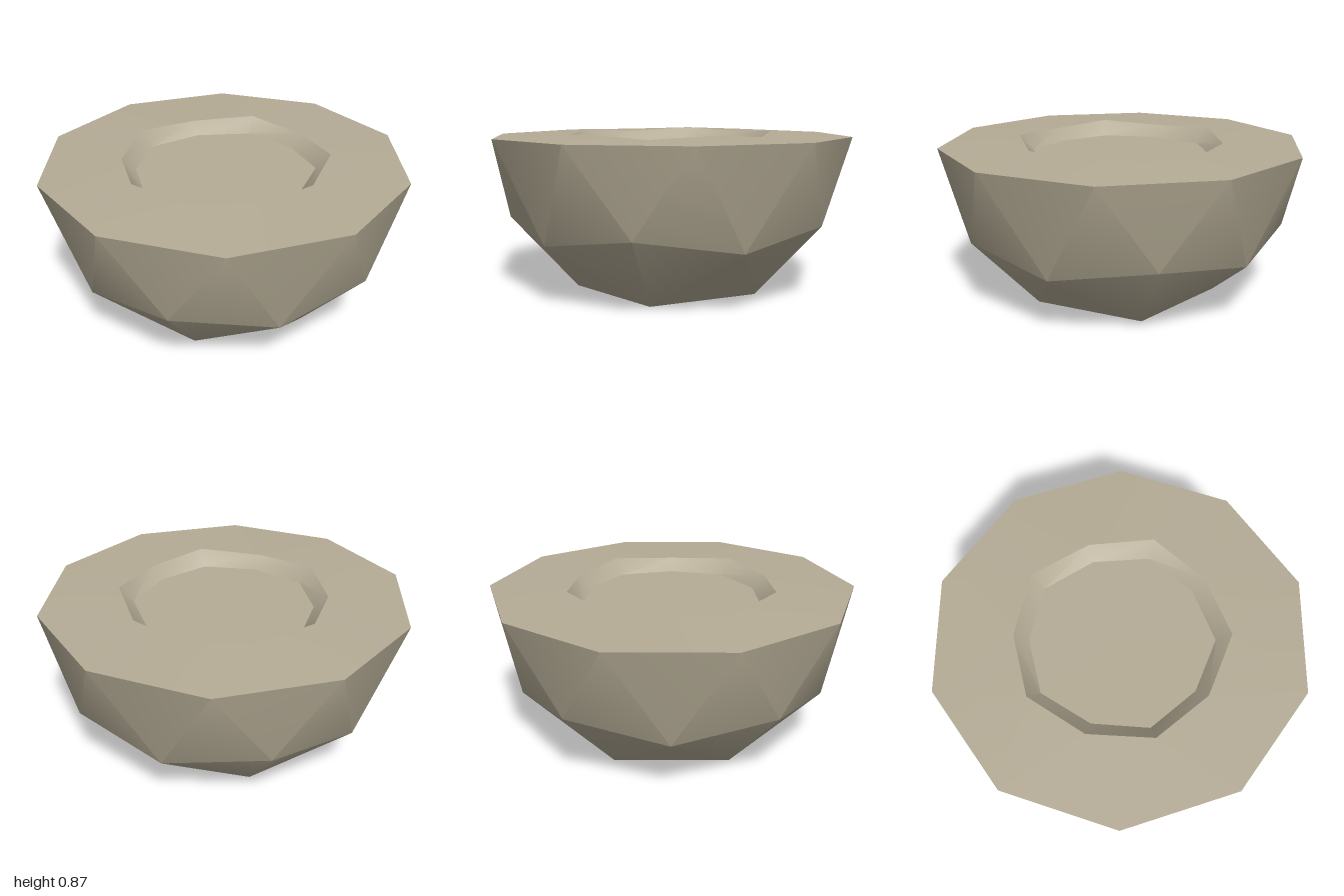
import * as THREE from 'three';
import { toCreasedNormals } from 'three/addons/utils/BufferGeometryUtils.js';

const STEP = Math.PI / 5;

// Ring of points around y; even and odd points may differ in radius and height
function ring(count, turn, [evenR, evenY], [oddR, oddY] = [evenR, evenY]) {
  return Array.from({ length: count }, (_, i) => {
    const a = Math.PI + turn + (i * 2 * Math.PI) / count;
    const r = i % 2 ? oddR : evenR;
    return new THREE.Vector3(r * Math.cos(a), i % 2 ? oddY : evenY, r * Math.sin(a));
  });
}

// Zigzag band of triangles from ring a to ring b; shift pairs up the points
function band(a, b, shift = 0) {
  const tris = [];
  const n = a.length;
  for (let i = 0; i < n; i++) {
    const next = a[(i + 1) % n];
    const b0 = b[(i + shift) % n];
    const b1 = b[(i + shift + 1) % n];
    tris.push(a[i], b0, next, b0, b1, next);
  }
  return tris;
}

// Flat cap over a ring
function cap(points, up) {
  const centre = new THREE.Vector3(0, points[0].y, 0);
  return points.flatMap((p, i) => {
    const q = points[(i + 1) % points.length];
    return up ? [centre, q, p] : [centre, p, q];
  });
}

function makeMesh(name, points, material) {
  const geometry = new THREE.BufferGeometry().setFromPoints(points);
  const mesh = new THREE.Mesh(toCreasedNormals(geometry, 0.55), material);
  mesh.name = name;
  return mesh;
}

export function createModel() {
  const group = new THREE.Group();
  group.name = 'bowl';
  const clay = new THREE.MeshStandardMaterial({ color: 0xb5ac96 });
  clay.name = 'clay';

  // Rings from the foot, up the outside and into the hollow
  const foot = ring(5, 0, [0.526, 0]);
  const belly = ring(10, 0, [0.894, 0.403], [0.851, 0.325]);
  const rim = ring(10, STEP / 2, [1, 0.85]);
  const lip = ring(10, 0, [0.555, 0.853], [0.58, 0.873]);
  const well = ring(10, 0, [0.48, 0.79], [0.503, 0.79]);

  // Lower shell, from the five-sided foot to the ten-sided belly
  const lower = foot.flatMap((f, i) => {
    const nextFoot = foot[(i + 1) % 5];
    const corner = belly[2 * i];
    const middle = belly[2 * i + 1];
    const nextCorner = belly[(2 * i + 2) % 10];
    return [f, corner, middle, f, middle, nextFoot, nextFoot, middle, nextCorner];
  });

  // Outer shell in one mesh so that its shading runs smoothly
  group.add(makeMesh('shell', [...cap(foot, false), ...lower, ...band(belly, rim)], clay));
  // Broad top and the sloping wall of the hollow
  group.add(makeMesh('topRim', band(rim, lip, 1), clay));
  group.add(makeMesh('innerWall', band(lip, well), clay));
  // Flat floor of the hollow
  group.add(makeMesh('floor', cap(well, true), clay));
  return group;
}
